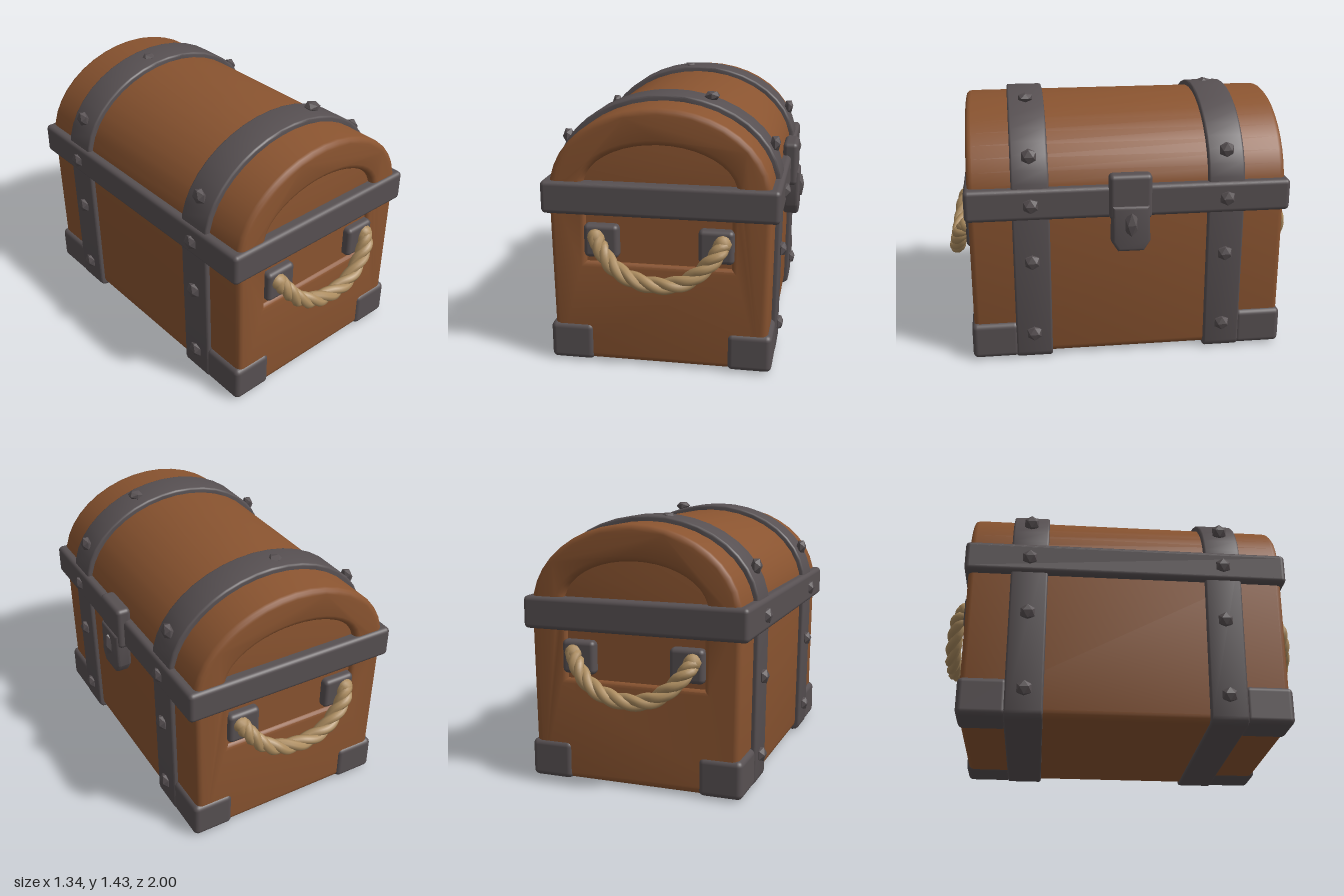
import * as THREE from 'three';
import { toCreasedNormals } from 'three/addons/utils/BufferGeometryUtils.js';
import { RoundedBoxGeometry } from 'three/addons/geometries/RoundedBoxGeometry.js';

const CX = -0.025; // chest centre line, the latch takes up the rest of the width

// Upright sides with rounded bottom corners under an elliptical arch
function archProfile(Kind, halfWidth, bottom, spring, top, taper = 0.012, r = 0.04) {
  const p = [];
  const foot = halfWidth - taper;
  for (let i = 0; i <= 3; i++) {
    const a = -Math.PI / 2 + (i / 3) * Math.PI / 2;
    p.push(new THREE.Vector2(CX + foot - r + r * Math.cos(a), bottom + r + r * Math.sin(a)));
  }
  for (let i = 0; i <= 20; i++) {
    const a = (i / 20) * Math.PI;
    p.push(new THREE.Vector2(CX + halfWidth * Math.cos(a), spring + (top - spring) * Math.sin(a)));
  }
  for (let i = 0; i <= 3; i++) {
    const a = Math.PI + (i / 3) * Math.PI / 2;
    p.push(new THREE.Vector2(CX - foot + r + r * Math.cos(a), bottom + r + r * Math.sin(a)));
  }
  return new Kind(p);
}

// Extrusion along z centred on zero, with softened edges inside the given outline
function extrude(shape, length, bevel) {
  const g = new THREE.ExtrudeGeometry(shape, {
    depth: length - 2 * bevel, bevelEnabled: true, bevelThickness: bevel,
    bevelSize: bevel, bevelOffset: -bevel, bevelSegments: 3, steps: 1,
  });
  g.translate(0, 0, bevel - length / 2);
  return toCreasedNormals(g, 0.6);
}

// One strand of a rope, winding around a guide curve
class StrandCurve extends THREE.Curve {
  constructor(guide, phase, radius, turns) {
    super();
    Object.assign(this, { guide, phase, radius, turns });
  }
  getPoint(t, target = new THREE.Vector3()) {
    const tangent = this.guide.getTangent(t);
    const side = new THREE.Vector3(0, 0, 1).addScaledVector(tangent, -tangent.z).normalize();
    const up = new THREE.Vector3().crossVectors(tangent, side);
    const a = this.phase + t * this.turns * Math.PI * 2;
    return target.copy(this.guide.getPoint(t))
      .addScaledVector(side, Math.cos(a) * this.radius)
      .addScaledVector(up, Math.sin(a) * this.radius);
  }
}

export function createModel() {
  const wood = new THREE.MeshStandardMaterial({ color: 0x8a5430 });
  wood.name = 'wood';
  const iron = new THREE.MeshStandardMaterial({ color: 0x575052 });
  iron.name = 'iron';
  const hemp = new THREE.MeshStandardMaterial({ color: 0xad8d60 });
  hemp.name = 'rope';

  const chest = new THREE.Group();
  chest.name = 'chest';
  const add = (name, geometry, material, x = 0, y = 0, z = 0, parent = chest) => {
    const m = new THREE.Mesh(geometry, material);
    m.name = name;
    m.position.set(x, y, z);
    parent.add(m);
    return m;
  };
  const box = (w, h, d, r) => new RoundedBoxGeometry(w, h, d, 3, r);

  // Wooden shell whose ends have sunken panels in the lid and the body
  const shell = archProfile(THREE.Shape, 0.58, 0.015, 0.94, 1.39);
  shell.holes.push(archProfile(THREE.Path, 0.4, 0.92, 0.97, 1.2, 0, 0.02));
  shell.holes.push(new THREE.Path([
    new THREE.Vector2(-0.41, 0.57), new THREE.Vector2(0.35, 0.57),
    new THREE.Vector2(0.35, 0.86), new THREE.Vector2(-0.41, 0.86),
  ]));
  add('woodenShell', extrude(shell, 1.72, 0.03), wood);
  add('lidEndPanels', extrude(archProfile(THREE.Shape, 0.5, 0.85, 0.95, 1.3, 0, 0.02), 1.64, 0.01), wood);
  add('bodyEndPanels', box(0.95, 0.5, 1.675, 0.01), wood, CX, 0.65, 0);

  // Iron hoops running all the way round
  for (const s of [1, -1]) {
    const hoop = archProfile(THREE.Shape, 0.607, 0, 0.95, 1.42);
    hoop.holes.push(archProfile(THREE.Path, 0.55, 0.05, 0.94, 1.36));
    add('hoop', extrude(hoop, 0.2, 0.012), iron, 0, 0, s * 0.53);
  }

  // Rim band between body and lid
  add('rimBand', box(1.24, 0.175, 1.76, 0.025), iron, CX, 0.912, 0);

  // Bottom corner caps
  for (const sx of [1, -1]) for (const sz of [1, -1]) {
    add('cornerCap', box(0.235, 0.205, 0.26, 0.03), iron, CX + sx * 0.475, 0.112, sz * 0.742);
  }

  // Faceted rivets on the hoops
  const rivetGeometry = new THREE.IcosahedronGeometry(0.045, 0);
  for (const sz of [1, -1]) {
    for (const sx of [1, -1]) {
      for (const [x, y] of [[0.6, 0.155], [0.608, 0.585], [0.62, 0.91], [0.56, 1.165]]) {
        add('rivet', rivetGeometry, iron, CX + sx * x, y, sz * 0.53).scale.x = 0.7;
      }
    }
    add('topRivet', rivetGeometry, iron, sz * 0.15 + 0.05, 1.405, sz * 0.53).scale.y = 0.6;
  }

  // Latch
  const latch = new THREE.Group();
  latch.name = 'latch';
  chest.add(latch);
  add('latchPlate', box(0.085, 0.25, 0.23, 0.025), iron, 0.59, 0.945, 0, latch);
  const tongue = new THREE.Shape([
    [-0.1, 0.9], [-0.105, 0.7], [-0.07, 0.645], [0.07, 0.645], [0.105, 0.7], [0.1, 0.9],
  ].map(([z, y]) => new THREE.Vector2(z, y)));
  add('latchTongue', extrude(tongue, 0.09, 0.018).rotateY(Math.PI / 2), iron, 0.6, 0, 0, latch);
  add('latchKnob', rivetGeometry, iron, 0.64, 0.8, 0, latch).scale.set(0.75, 1.7, 0.9);

  // Rope handle with its two mounting plates at each end
  const guide = new THREE.CatmullRomCurve3([
    [-0.35, 0.715, 0.88], [-0.315, 0.66, 0.915], [-0.25, 0.58, 0.935], [-0.14, 0.52, 0.95],
    [-0.01, 0.498, 0.953], [0.12, 0.52, 0.95], [0.22, 0.59, 0.935], [0.285, 0.665, 0.915], [0.31, 0.715, 0.88],
  ].map((p) => new THREE.Vector3(...p)));
  for (const s of [1, -1]) {
    const handle = new THREE.Group();
    handle.name = s > 0 ? 'frontHandle' : 'backHandle';
    for (const x of [-0.325, 0.275]) {
      add('handlePlate', box(0.185, 0.18, 0.08, 0.025), iron, x, 0.69, 0.845, handle);
    }
    for (let i = 0; i < 3; i++) {
      const strand = new StrandCurve(guide, (i / 3) * Math.PI * 2, 0.02, 3.5);
      add('ropeStrand', new THREE.TubeGeometry(strand, 72, 0.026, 8), hemp, 0, 0, 0, handle);
    }
    for (const t of [0, 1]) {
      const end = guide.getPoint(t);
      add('ropeKnot', new THREE.IcosahedronGeometry(0.046, 1), hemp, end.x, end.y, end.z, handle);
    }
    // The back handle keeps the same x layout
    if (s < 0) {
      handle.rotation.y = Math.PI;
      handle.position.x = 2 * CX;
    }
    chest.add(handle);
  }

  return chest;
}
